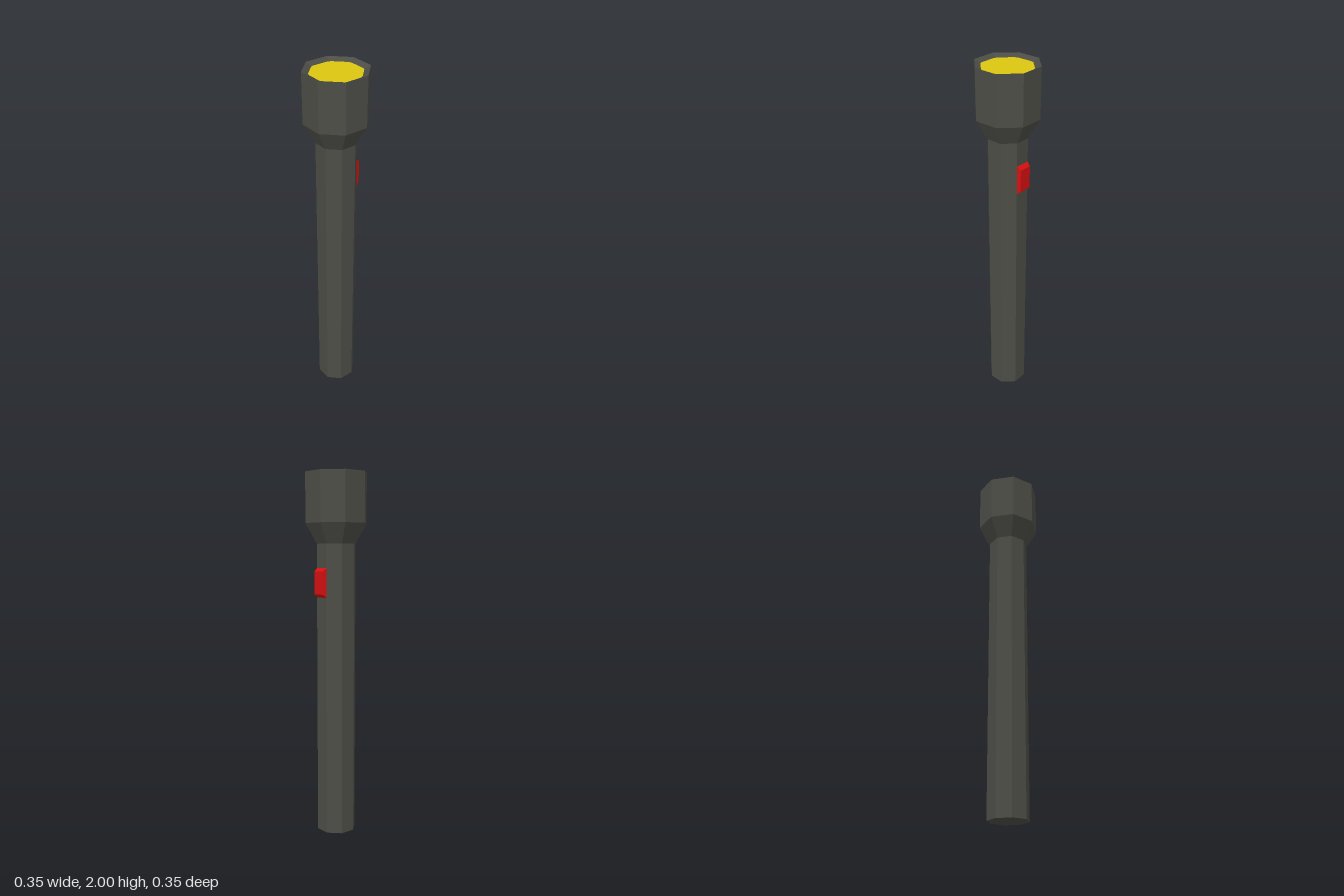
import * as THREE from 'three';

const SIDES = 8;
const BODY_R = 0.11;
const HEAD_R = 0.173;
const LENS_Y = 1.985;

const material = (name, color) => {
  const m = new THREE.MeshStandardMaterial({ color });
  m.name = name;
  return m;
};

// Faceted normals: split the shared vertices
const faceted = (geometry) => {
  const g = geometry.toNonIndexed();
  g.computeVertexNormals();
  return g;
};

const part = (name, geometry, mat) => {
  const mesh = new THREE.Mesh(geometry, mat);
  mesh.name = name;
  return mesh;
};

export function createModel() {
  const casing = material('dark grey casing', 0x4d4d47);
  const glass = material('yellow lens', 0xdcc611);
  const red = material('red switch', 0xd61010);

  const model = new THREE.Group();
  model.name = 'flashlight';

  // Handle, with its closed bottom
  const handle = [[0, 0], [BODY_R, 0], [BODY_R, 1.62]];
  // Flared head, with the rim sloping inwards to the lens
  const head = [[BODY_R, 1.62], [HEAD_R, 1.73], [HEAD_R, 2], [0.13, 1.98]];
  for (const [name, profile] of [['handle', handle], ['head', head]]) {
    const points = profile.map(([r, y]) => new THREE.Vector2(r, y));
    model.add(part(name, faceted(new THREE.LatheGeometry(points, SIDES)), casing));
  }

  // Lens: an octagon with clipped corners
  const corners = [];
  for (let i = 0; i < SIDES; i++) {
    for (const offset of [-0.073, 0.073]) {
      const a = (i / SIDES) * Math.PI * 2 + offset;
      corners.push(new THREE.Vector2(0.137 * Math.cos(a), 0.137 * Math.sin(a)));
    }
  }
  const lens = part('lens', new THREE.ShapeGeometry(new THREE.Shape(corners)), glass);
  lens.rotation.x = -Math.PI / 2;
  lens.position.y = LENS_Y;
  model.add(lens);

  // Switch: a bevelled block covering the width of one handle facet
  const half = Math.PI / SIDES;
  const width = 2 * BODY_R * Math.sin(half);
  const height = 0.16;
  const depth = 0.021;
  const block = new THREE.BoxGeometry(width, height, depth);
  const p = block.attributes.position;
  for (let i = 0; i < p.count; i++) {
    if (p.getZ(i) > 0) {
      p.setX(i, p.getX(i) - Math.sign(p.getX(i)) * 0.006);
      p.setY(i, p.getY(i) - Math.sign(p.getY(i)) * 0.018);
    }
  }
  const button = part('switch', faceted(block), red);
  const angle = Math.PI / 2 + half;
  const reach = BODY_R * Math.cos(half) + depth / 2;
  button.rotation.y = angle;
  button.position.set(Math.sin(angle) * reach, 1.41, Math.cos(angle) * reach);
  model.add(button);

  return model;
}
